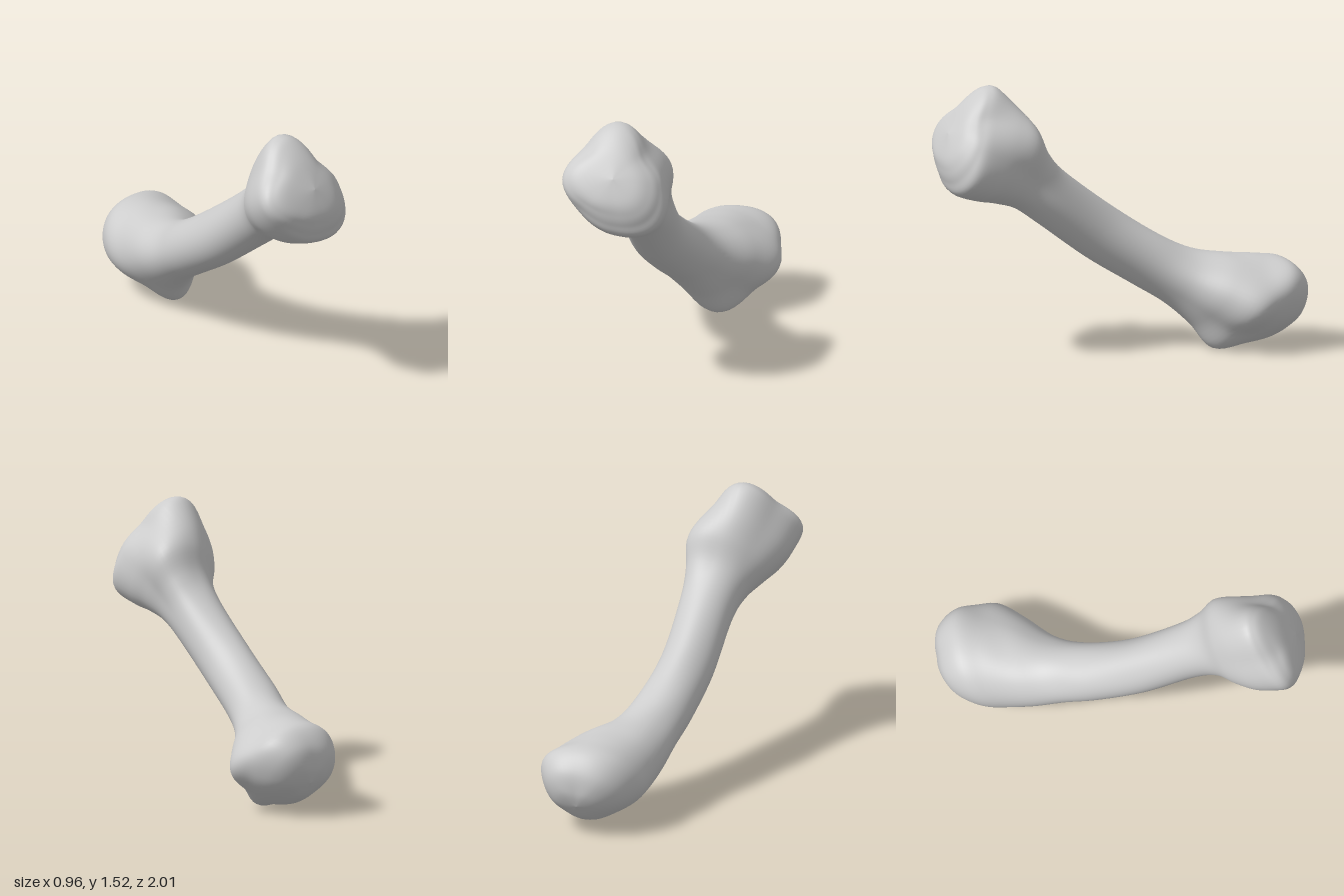
import * as THREE from 'three';

// Cross-sections along the bone's sloping axis, from the low back end to the high front end:
// [distance along axis, centre x, centre up, radii at 8 angles: left, up-left, up, up-right, right, ...]
const backKnob = [
  [-1.06, 0.20, 0.10, 0, 0, 0, 0, 0, 0, 0, 0],
  [-1.04, 0.20, 0.10, 0.12, 0.12, 0.085, 0.10, 0.11, 0.1, 0.11, 0.1],
  [-0.97, 0.19, 0.08, 0.21, 0.24, 0.20, 0.21, 0.21, 0.18, 0.19, 0.18],
  [-0.85, 0.20, 0.04, 0.25, 0.30, 0.285, 0.30, 0.295, 0.24, 0.24, 0.215],
  [-0.72, 0.155, 0.005, 0.325, 0.28, 0.275, 0.275, 0.275, 0.245, 0.30, 0.245],
  [-0.57, 0.09, 0.00, 0.28, 0.24, 0.21, 0.22, 0.235, 0.22, 0.23, 0.22],
];
const shaft = [
  [-0.40, 0.03, -0.015, 0.19, 0.17, 0.165, 0.17, 0.19, 0.18, 0.17, 0.165],
  [-0.20, -0.03, -0.015, 0.16, 0.16, 0.155, 0.16, 0.165, 0.16, 0.155, 0.15],
  [0.10, -0.075, 0.00, 0.15, 0.155, 0.167, 0.155, 0.152, 0.15, 0.15, 0.145],
  [0.45, -0.09, 0.06, 0.15, 0.165, 0.16, 0.155, 0.15, 0.15, 0.16, 0.15],
];
const frontKnob = [
  [0.62, -0.11, 0.09, 0.165, 0.21, 0.18, 0.17, 0.17, 0.17, 0.17, 0.175],
  [0.75, -0.14, 0.12, 0.215, 0.28, 0.25, 0.215, 0.23, 0.215, 0.225, 0.24],
  [0.87, -0.17, 0.13, 0.26, 0.285, 0.30, 0.245, 0.265, 0.25, 0.265, 0.305],
  [1.00, -0.18, 0.135, 0.265, 0.24, 0.338, 0.27, 0.29, 0.26, 0.285, 0.335],
  [1.06, -0.18, 0.13, 0.24, 0.21, 0.325, 0.255, 0.295, 0.235, 0.24, 0.28],
  [1.10, -0.18, 0.13, 0.20, 0.18, 0.27, 0.215, 0.265, 0.205, 0.195, 0.23],
  [1.135, -0.18, 0.13, 0.13, 0.12, 0.16, 0.15, 0.185, 0.15, 0.13, 0.15],
  [1.155, -0.18, 0.13, 0, 0, 0, 0, 0, 0, 0, 0],
];

// Catmull-Rom through four values
function spline(a, b, c, d, f) {
  return b + 0.5 * f * (c - a + f * (2 * a - 5 * b + 4 * c - d + f * (3 * (b - c) + d - a)));
}

function loftBone(rows, stepsPerRow, sides) {
  const axis = new THREE.Vector3(0, 0.48, 0.877);
  const up = new THREE.Vector3(0, 0.877, -0.48);
  const positions = [], index = [];
  const rings = (rows.length - 1) * stepsPerRow;
  const row = (i) => rows[THREE.MathUtils.clamp(i, 0, rows.length - 1)];
  for (let i = 0; i <= rings; i++) {
    const k = Math.floor(i / stepsPerRow), f = i / stepsPerRow - k;
    const section = row(k).map((v, n) => spline(row(k - 1)[n], v, row(k + 1)[n], row(k + 2)[n], f));
    const [t, cx, cs, ...radii] = section;
    for (let j = 0; j < sides; j++) {
      const g = (j / sides) * 8, m = Math.floor(g);
      const at = (n) => radii[(n + 8) % 8];
      const r = Math.max(0, spline(at(m - 1), at(m), at(m + 1), at(m + 2), g - m));
      const angle = (j / sides) * Math.PI * 2;
      const p = new THREE.Vector3(cx + r * Math.cos(angle), 0.61, 0)
        .addScaledVector(up, cs + r * Math.sin(angle))
        .addScaledVector(axis, t);
      positions.push(p.x, p.y, p.z);
      if (i < rings) {
        const a = i * sides + j, b = i * sides + (j + 1) % sides;
        index.push(a, b, a + sides, b, b + sides, a + sides);
      }
    }
  }
  const geometry = new THREE.BufferGeometry();
  geometry.setAttribute('position', new THREE.Float32BufferAttribute(positions, 3));
  geometry.setIndex(index);
  geometry.computeVertexNormals();
  return geometry;
}

export function createModel() {
  const group = new THREE.Group();
  group.name = 'boneModel';
  const boneGrey = new THREE.MeshStandardMaterial({ color: 0xcccccc });
  boneGrey.name = 'boneGrey';

  // One continuous smooth surface: back knob, shaft and front knob
  const bone = new THREE.Mesh(loftBone([...backKnob, ...shaft, ...frontKnob], 6, 64), boneGrey);
  bone.name = 'bone';
  group.add(bone);
  return group;
}
